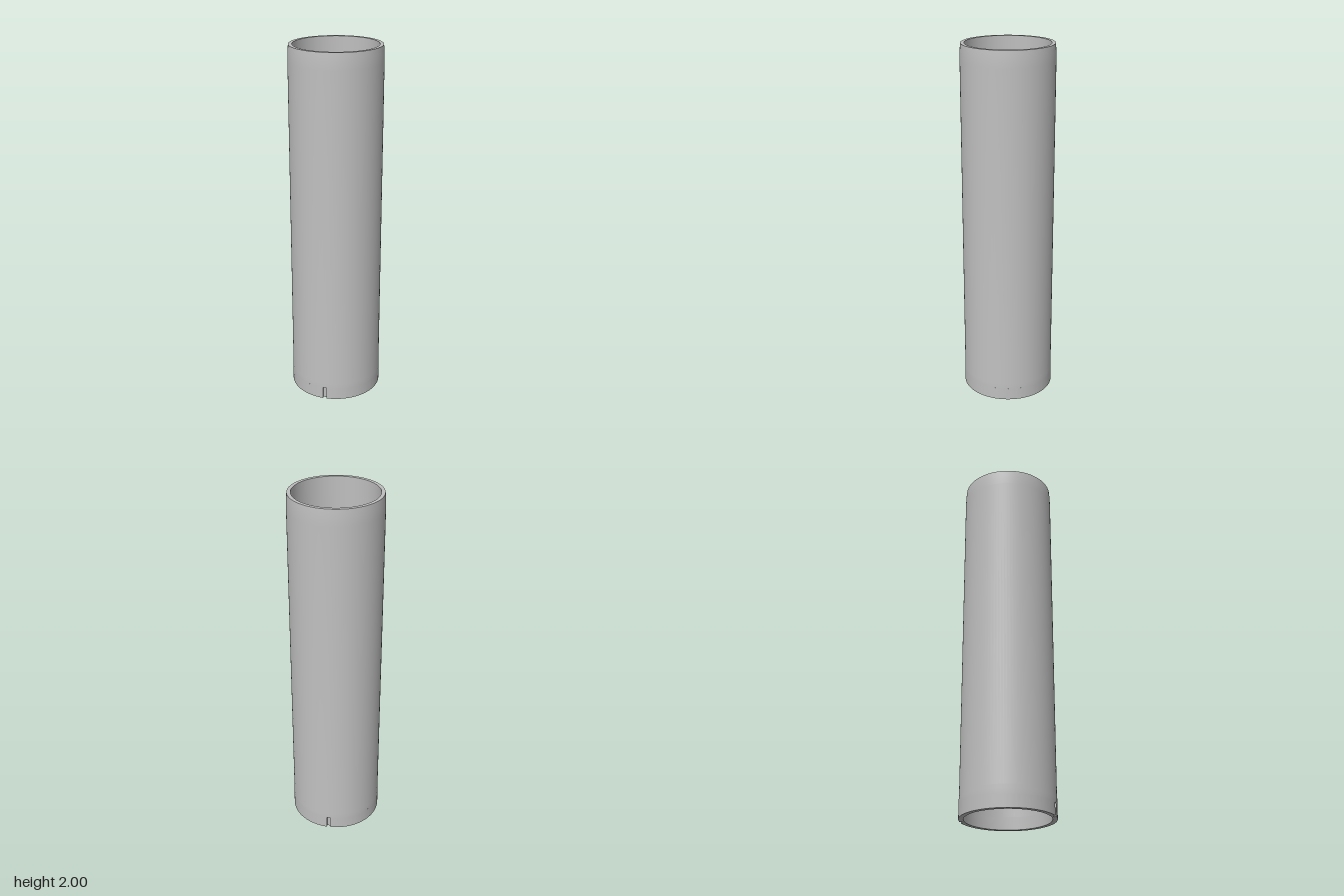
import * as THREE from 'three';
import { toCreasedNormals } from 'three/addons/utils/BufferGeometryUtils.js';

const OUTER = 0.256, INNER = 0.23, GROOVE_TOP = 0.07;

export function createModel() {
  const group = new THREE.Group();
  const grey = new THREE.MeshStandardMaterial({ color: 0xbfbfbf });
  grey.name = 'grey';

  const add = (name, geometry, y = 0) => {
    const mesh = new THREE.Mesh(toCreasedNormals(geometry, 0.5), grey);
    mesh.name = name;
    mesh.position.y = y;
    group.add(mesh);
    return mesh;
  };

  // Extrude a plan shape upwards
  const rise = (shape, height, curveSegments) =>
    new THREE.ExtrudeGeometry(shape, { depth: height, bevelEnabled: false, curveSegments })
      .rotateX(-Math.PI / 2);

  // Long tube with a softly tapered mouth and a very slight flare at the foot
  const profile = [
    [INNER, GROOVE_TOP], [OUTER, GROOVE_TOP], [OUTER, 0.1], [0.2545, 0.12],
    [0.2545, 1.91], [0.2535, 1.96], [0.25, 2], [INNER, 2], [INNER, GROOVE_TOP],
  ].map(([r, y]) => new THREE.Vector2(r, y));
  add('tube', new THREE.LatheGeometry(profile, 96));

  // Foot ring with a shallow groove in the front and back
  const width = 0.021, floor = 0.242;
  const edge = Math.acos(-width / OUTER);
  const ring = new THREE.Shape();
  ring.absarc(0, 0, OUTER, edge, Math.PI * 2 - edge, false);
  ring.lineTo(-width, -floor);
  ring.lineTo(0, -floor);
  ring.absarc(0, 0, OUTER, -Math.PI / 2, Math.PI / 2, false);
  ring.lineTo(0, floor);
  ring.lineTo(-width, floor);
  ring.closePath();
  const bore = new THREE.Path();
  bore.absarc(0, 0, INNER, 0, Math.PI * 2, true);
  ring.holes.push(bore);
  add('footRing', rise(ring, GROOVE_TOP, 48));

  // Inner mounting lugs with a blind screw hole underneath
  const lugShape = (withHole) => {
    const a = Math.PI / 6, b = Math.PI / 3;
    const shape = new THREE.Shape();
    shape.absarc(0, 0, 0.235, a, b, false);
    shape.absarc(0, 0, 0.161, b, a, true);
    shape.closePath();
    if (withHole) {
      const c = 0.195 * Math.SQRT1_2;
      const hole = new THREE.Path();
      hole.absarc(c, c, 0.014, 0, Math.PI * 2, true);
      shape.holes.push(hole);
    }
    return shape;
  };
  for (let i = 0; i < 4; i++) {
    const turn = i * Math.PI / 2;
    add('lugLower', rise(lugShape(true), 0.08, 16), 0.16).rotation.y = turn;
    add('lugUpper', rise(lugShape(false), 0.04, 16), 0.24).rotation.y = turn;
  }
  return group;
}
